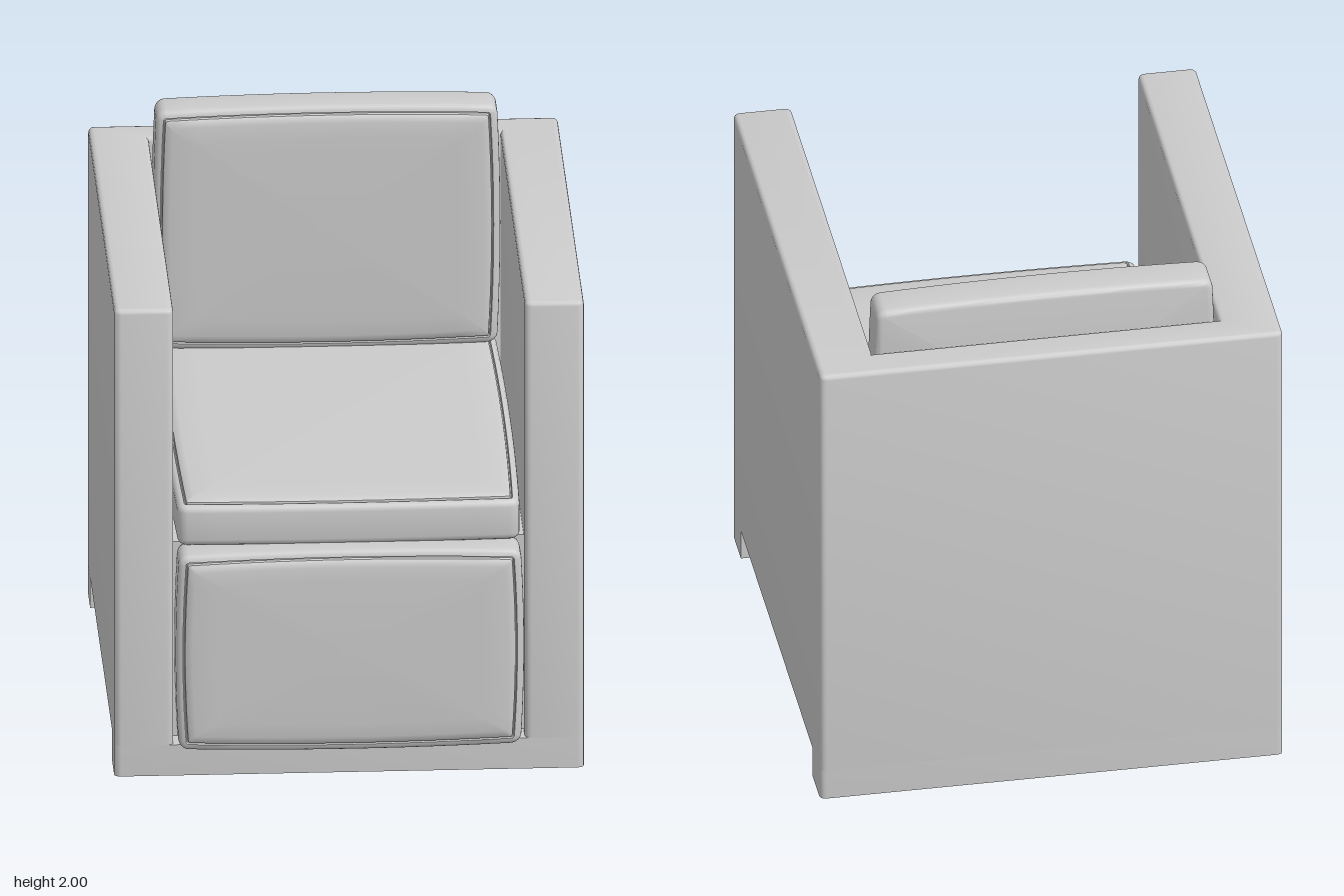
import * as THREE from 'three';
import { toCreasedNormals } from 'three/addons/utils/BufferGeometryUtils.js';

const material = new THREE.MeshStandardMaterial({ color: 0xcccccc, roughness: 0.8 });

function addMesh(parent, name, geometry) {
  const mesh = new THREE.Mesh(geometry, material);
  mesh.name = name;
  parent.add(mesh);
  return mesh;
}

// Plan outline from corners [x, z, radius], listed counter-clockwise seen from above
function plan(corners) {
  const shape = new THREE.Shape();
  const pts = corners.map(([x, z]) => new THREE.Vector2(x, -z));
  const n = pts.length;
  pts.forEach((p, i) => {
    const r = corners[i][2];
    const toward = (q) => q.clone().sub(p).setLength(r).add(p);
    const a = toward(pts[(i + n - 1) % n]);
    const b = toward(pts[(i + 1) % n]);
    if (i === 0) shape.moveTo(a.x, a.y); else shape.lineTo(a.x, a.y);
    if (r > 0) shape.quadraticCurveTo(p.x, p.y, b.x, b.y);
  });
  shape.closePath();
  return shape;
}

// Upright prism with a softened top edge and a sharp, flat bottom
function prism(shape, y0, y1, bevel) {
  const geo = new THREE.ExtrudeGeometry(shape, {
    depth: y1 - y0 - bevel, curveSegments: 4,
    bevelEnabled: bevel > 0, bevelSize: bevel, bevelThickness: bevel,
    bevelOffset: -bevel, bevelSegments: 3,
  });
  const pos = geo.attributes.position;
  // The first full-size ring drops onto the bottom plane
  for (let i = 0; i < pos.count; i++) if (pos.getZ(i) < 0) pos.setZ(i, 0);
  geo.rotateX(-Math.PI / 2);
  geo.translate(0, y0, 0);
  return toCreasedNormals(geo, 0.6);
}

// One rounded-rectangle ring, its sides bowed outward
function ring(a, b, r, bow) {
  const pts = [];
  const signs = [[1, 1], [-1, 1], [-1, -1], [1, -1]];
  const corner = (k, t) => {
    const ang = (k + t) * Math.PI / 2;
    const [sx, sy] = signs[k];
    return [sx * (a - r) + r * Math.cos(ang), sy * (b - r) + r * Math.sin(ang)];
  };
  for (let k = 0; k < 4; k++) {
    for (let s = 0; s <= 4; s++) pts.push(corner(k, s / 4));
    const p = corner(k, 1), q = corner((k + 1) % 4, 0);
    for (let s = 1; s < 12; s++) {
      pts.push([p[0] + (q[0] - p[0]) * s / 12, p[1] + (q[1] - p[1]) * s / 12]);
    }
  }
  return pts.map(([x, y]) => {
    const u = x / a, v = y / b;
    return [x + bow * u * (1 - v * v), y + bow * v * (1 - u * u)];
  });
}

// Cushion lying in x/y, back at z = 0, with a piped rim and a raised, domed pad at +z
function cushion(a, b, d) {
  const edge = 0.025, bow = 0.012;
  const rings = [];
  const add = (inset, z, scale = 1) => {
    const pts = ring(a - inset, b - inset, Math.max(0.035 - inset, 0.008), bow);
    rings.push(pts.map(([x, y]) => [x * scale, y * scale, z]));
  };
  add(edge, 0, 0);
  for (let i = 0; i <= 4; i++) {
    const t = i * Math.PI / 8;
    add(edge * (1 - Math.sin(t)), edge * (1 - Math.cos(t)));
  }
  for (let i = 0; i <= 4; i++) {
    const t = i * Math.PI / 8;
    add(edge * (1 - Math.cos(t)), d - edge * (1 - Math.sin(t)));
  }
  // Groove, then the shoulder of the pad
  add(0.028, d - 0.008);
  add(0.031, d - 0.008);
  add(0.033, d + 0.005);
  add(0.040, d + 0.011);
  add(0.060, d + 0.016);
  for (const s of [0.85, 0.65, 0.4, 0.2, 0]) add(0.06, d + 0.016 + 0.008 * (1 - s * s), s);

  const n = rings[0].length, index = [];
  for (let i = 0; i < rings.length - 1; i++) {
    for (let j = 0; j < n; j++) {
      const k = (j + 1) % n;
      const p = i * n + j, q = i * n + k, r = p + n, s = q + n;
      if (i > 0) index.push(p, q, s);
      if (i < rings.length - 2) index.push(p, s, r);
      else index[index.length - 1] = r;
    }
  }
  const geo = new THREE.BufferGeometry();
  geo.setAttribute('position', new THREE.Float32BufferAttribute(rings.flat(2), 3));
  geo.setIndex(index);
  return toCreasedNormals(geo, 0.7);
}

export function createModel() {
  const chair = new THREE.Group();
  chair.name = 'armchair';
  const W = 0.855, inner = 0.64, front = 0.86, back = -0.945, wall = -0.815, R = 0.025;
  const under = 0.12;

  // Arms and back in one U-shaped shell
  addMesh(chair, 'armsAndBack', prism(plan([
    [-W, front, R], [-inner, front, R], [-inner, wall, 0], [inner, wall, 0],
    [inner, front, R], [W, front, R], [W, back, R], [-W, back, R],
  ]), under, 1.825, 0.018));

  // Base under the seat
  const base = addMesh(chair, 'seatBase', new THREE.BoxGeometry(2 * inner, 0.76, 1.6));
  base.position.set(0, under + 0.38, -0.03);

  // Full-width runners for feet
  addMesh(chair, 'frontFoot', prism(plan([
    [-W, 0.69, 0], [-W, front, R], [W, front, R], [W, 0.69, 0],
  ]), 0, under, 0));
  addMesh(chair, 'backFoot', prism(plan([
    [-W, back, R], [-W, -0.785, 0], [W, -0.785, 0], [W, back, R],
  ]), 0, under, 0));

  // Cushions
  const frontPad = addMesh(chair, 'frontCushion', cushion(0.622, 0.38, 0.155));
  frontPad.position.set(0, 0.5, 0.767);

  const seat = addMesh(chair, 'seatCushion', cushion(0.622, 0.815, 0.155));
  seat.rotation.x = -Math.PI / 2;
  seat.position.set(0, 0.885, 0.02);

  const backPad = addMesh(chair, 'backCushion', cushion(0.62, 0.465, 0.155));
  backPad.position.set(0, 1.523, -0.808);

  return chair;
}
